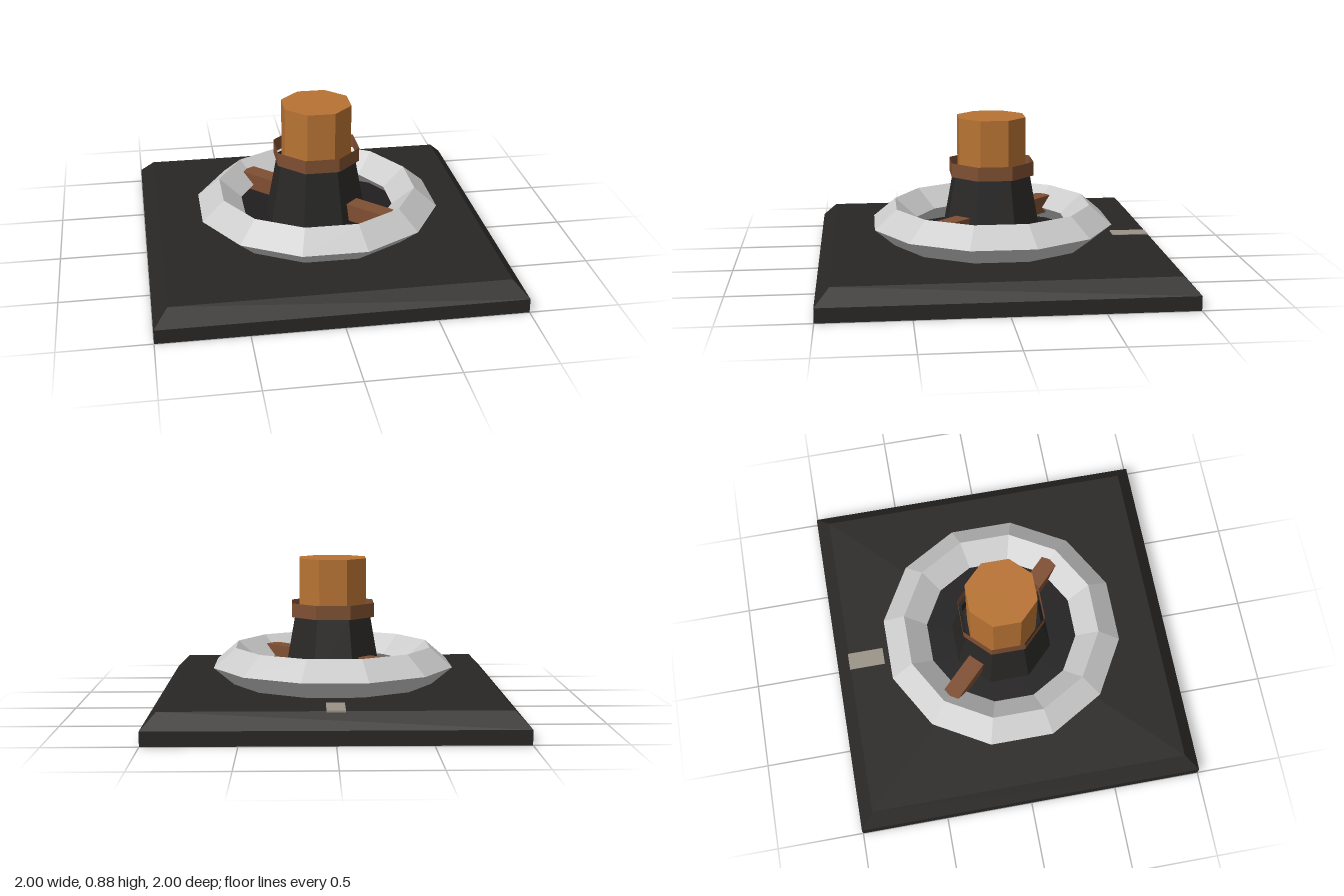
import * as THREE from 'three';

const paint = (color, side = THREE.FrontSide) =>
  new THREE.MeshStandardMaterial({ color, flatShading: true, side });

function add(group, name, geometry, material) {
  const mesh = new THREE.Mesh(geometry, material);
  mesh.name = name;
  group.add(mesh);
  return mesh;
}

// Upright prism or cone, given by flat-to-centre radii, with flats facing the axes
function prism(top, bottom, y0, y1, sides, open = false) {
  const k = 1 / Math.cos(Math.PI / sides);
  return new THREE.CylinderGeometry(top * k, bottom * k, y1 - y0, sides, 1, open)
    .rotateY(Math.PI / sides)
    .translate(0, (y0 + y1) / 2, 0);
}

export function createModel() {
  const model = new THREE.Group();
  const brown = paint(0x7f4f32, THREE.DoubleSide);

  // Square base plate with a sloped rim
  const d = Math.SQRT2;
  const profile = [[0, 0], [d, 0], [d, 0.08], [0.92 * d, 0.165], [0, 0.165]]
    .map(([x, y]) => new THREE.Vector2(x, y));
  add(model, 'basePlate', new THREE.LatheGeometry(profile, 4).rotateY(Math.PI / 4), paint(0x292725));

  // Pale marker strip at the back of the plate
  add(model, 'markerStrip', new THREE.BoxGeometry(0.1, 0.02, 0.21).translate(0, 0.159, -0.82), paint(0x9a9286));

  // Twelve-sided ring with a diamond cross-section
  const ring = new THREE.TorusGeometry(0.573, 0.13, 4, 12)
    .rotateX(Math.PI / 2)
    .rotateY(Math.PI / 12)
    .scale(1, 0.11 / 0.13, 1)
    .translate(0, 0.265, 0);
  add(model, 'ring', ring, paint(0xcccccc));

  // Dark floor inside the ring
  add(model, 'ringFloor', prism(0.52, 0.52, 0.155, 0.175, 12), paint(0x201e1f));

  // Open tapered housing and the collar around its mouth
  add(model, 'housing', prism(0.215, 0.28, 0.17, 0.545, 8, true), paint(0x272625, THREE.DoubleSide));
  add(model, 'collar', prism(0.235, 0.235, 0.545, 0.625, 8, true), brown);

  // Diagonal crossbar running through the housing into the ring
  add(model, 'crossbar', new THREE.BoxGeometry(1.14, 0.1, 0.1).rotateY(-Math.PI / 4).translate(0, 0.28, 0), brown);

  // Copper plunger standing on the crossbar
  add(model, 'plunger', prism(0.19, 0.19, 0.33, 0.88, 8), paint(0xb87333));

  return model;
}
